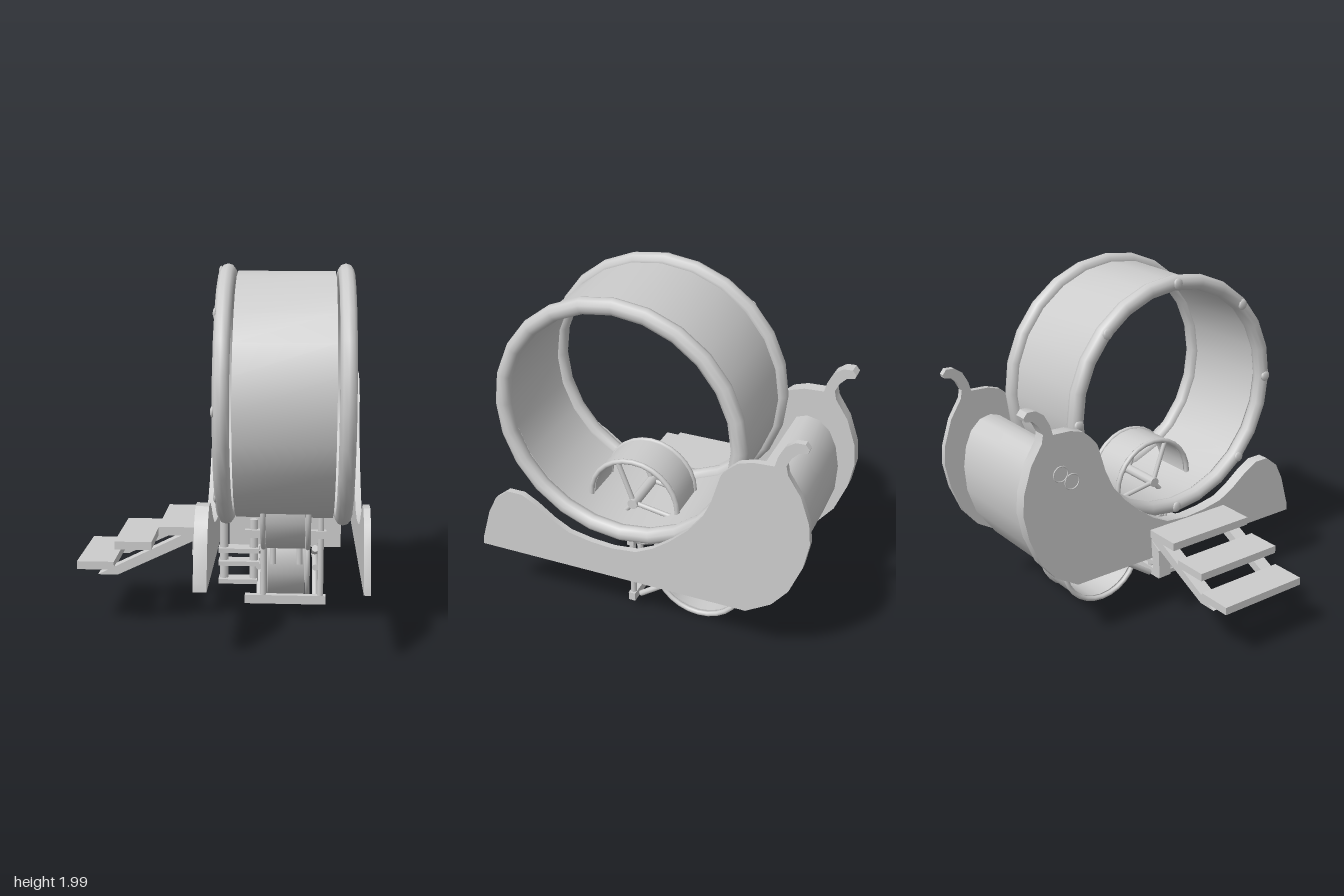
import * as THREE from 'three';
import { toCreasedNormals } from 'three/addons/utils/BufferGeometryUtils.js';

const grey = new THREE.MeshStandardMaterial({ color: 0xcccccc });
grey.name = 'light grey';

export function createModel() {
  const model = new THREE.Group();
  model.name = 'snailWheelRide';

  const add = (name, geometry, x = 0, y = 0, z = 0) => {
    const mesh = new THREE.Mesh(geometry, grey);
    mesh.name = name;
    mesh.position.set(x, y, z);
    model.add(mesh);
    return mesh;
  };
  const box = (name, x0, x1, y0, y1, z0, z1) =>
    add(name, new THREE.BoxGeometry(x1 - x0, y1 - y0, z1 - z0), (x0 + x1) / 2, (y0 + y1) / 2, (z0 + z1) / 2);

  // Round rod between two points
  const rod = (name, a, b, r) => {
    const p = new THREE.Vector3(...a), q = new THREE.Vector3(...b);
    const mesh = add(name, new THREE.CylinderGeometry(r, r, p.distanceTo(q), 10));
    mesh.position.copy(p).add(q).multiplyScalar(0.5);
    mesh.quaternion.setFromUnitVectors(new THREE.Vector3(0, 1, 0), q.sub(p).normalize());
  };

  // Side outline given as [z, y], extruded along x
  const slab = (name, points, x0, x1) => {
    const shape = new THREE.Shape(points.map(([z, y]) => new THREE.Vector2(-z, y)));
    const g = new THREE.ExtrudeGeometry(shape, { depth: x1 - x0, bevelEnabled: false });
    g.rotateY(Math.PI / 2);
    add(name, toCreasedNormals(g, 0.6), x0, 0, 0);
  };

  // Hoop lying in the y-z plane
  const hoop = (name, r, tube, x, y, z, sides = 24) =>
    add(name, new THREE.TorusGeometry(r, tube, 10, sides).rotateY(Math.PI / 2), x, y, z);

  // Thin open drum with its axis along x
  const drum = (name, outer, inner, x0, x1, y, z, sides = 24) => {
    const h = (x1 - x0) / 2;
    const profile = [[inner, -h], [outer, -h], [outer, h], [inner, h], [inner, -h]]
      .map(([r, t]) => new THREE.Vector2(r, t));
    const g = new THREE.LatheGeometry(profile, sides).rotateZ(-Math.PI / 2);
    add(name, toCreasedNormals(g, 0.6), (x0 + x1) / 2, y, z);
  };

  // Big shell wheel with rims and rivets
  const cy = 1.28, cz = 0.14;
  drum('shellDrum', 0.68, 0.662, 0.08, 0.61, cy, cz);
  for (const x of [0.025, 0.665]) hoop('shellRim', 0.675, 0.045, x, cy, cz);
  for (let i = 0; i < 8; i++) {
    const a = i * Math.PI / 4;
    const rivet = add('rimRivet', new THREE.SphereGeometry(0.032, 10, 6),
      -0.014, cy + 0.675 * Math.cos(a), cz + 0.675 * Math.sin(a));
    rivet.scale.x = 0.4;
  }

  // Snail side panels, with the feeler on the head
  const snail = [
    [0.96, 0.385], [0.955, 0.43], [0.9, 0.62], [0.85, 0.72], [0.77, 0.785], [0.68, 0.785],
    [0.6, 0.74], [0.5, 0.665], [0.4, 0.61], [0.27, 0.585], [0.14, 0.575], [0, 0.59],
    [-0.1, 0.64], [-0.2, 0.715], [-0.3, 0.81], [-0.38, 0.91], [-0.43, 1.02], [-0.48, 1.19], [-0.52, 1.24],
    [-0.57, 1.285], [-0.65, 1.31], [-0.76, 1.315], [-0.775, 1.37], [-0.81, 1.435],
    [-0.86, 1.47], [-0.91, 1.472], [-0.932, 1.445], [-0.925, 1.425], [-0.88, 1.415],
    [-0.845, 1.38], [-0.82, 1.33], [-0.83, 1.28], [-0.9, 1.17], [-0.95, 1.02],
    [-0.96, 0.9], [-0.93, 0.75], [-0.86, 0.58], [-0.77, 0.47], [-0.63, 0.385],
  ].reverse();
  slab('snailPanelRight', snail, -0.105, -0.035);
  slab('snailPanelLeft', snail, 0.75, 0.785);

  // Eye outlines on the outer face of the thick panel
  for (const [y, z] of [[1.08, -0.72], [1.02, -0.65]]) hoop('eyeOutline', 0.045, 0.004, -0.105, y, z, 16);

  // Body between the panels, wrapping the back of the wheel
  slab('rearBody', [
    [-0.09, 0.35], [-0.55, 0.35], [-0.7, 0.43], [-0.82, 0.6], [-0.87, 0.75], [-0.88, 0.9],
    [-0.86, 1.02], [-0.82, 1.11], [-0.76, 1.165], [-0.69, 1.18], [-0.63, 1.16], [-0.6, 1.1],
    [-0.56, 1.0], [-0.5, 0.89], [-0.41, 0.78], [-0.3, 0.675], [-0.2, 0.615], [-0.09, 0.57],
  ], 0.02, 0.67);

  // Two small wheels
  for (const [y, z] of [[0.68, 0.15], [0.285, -0.24]]) {
    drum('smallWheelDrum', 0.268, 0.25, 0.245, 0.46, y, z);
    for (const x of [0.228, 0.477]) hoop('smallWheelRim', 0.262, 0.015, x, y, z, 28);
  }
  // Spokes and hub of the upper small wheel
  for (const x of [0.228, 0.477])
    for (let i = 0; i < 3; i++) {
      const a = 0.36 + i * 2 * Math.PI / 3;
      rod('wheelSpoke', [x, 0.68, 0.15], [x, 0.68 + 0.26 * Math.cos(a), 0.15 + 0.26 * Math.sin(a)], 0.014);
    }
  rod('upperAxle', [0.21, 0.68, 0.15], [0.5, 0.68, 0.15], 0.03);

  // Foot bars, hangers and linkages under the body
  box('footBar', 0.12, 0.58, 0.075, 0.125, 0.11, 0.15);
  box('upperBar', 0.12, 0.58, 0.46, 0.505, 0.11, 0.15);
  for (const x of [0.225, 0.55]) rod('hanger', [x, 0.1, 0.13], [x, 0.6, 0.13], 0.018);
  for (const x of [0.2, 0.52]) {
    rod('horizontalLink', [x, 0.29, 0.14], [x, 0.29, -0.24], 0.018);
    rod('lowerLink', [x, 0.09, 0.1], [x, 0.3, -0.2], 0.017);
    rod('rearLink', [x, 0.27, -0.2], [x, 0.36, -0.5], 0.016);
    rod('upperLink', [x, 0.37, 0.02], [x, 0.27, -0.22], 0.02);
  }
  for (const x of [0.28, 0.43]) rod('frontStrut', [x, 0.31, 0.14], [x, 0.48, 0.14], 0.018);

  // Side crank with flat treads
  for (const [y, x1] of [[0.205, 0.19], [0.31, 0.2], [0.385, 0.2]])
    box('crankTread', -0.03, x1, y - 0.013, y + 0.013, 0.06, 0.16);
  for (const x of [0.0, 0.17]) rod('crankPost', [x, 0.2, 0.11], [x, 0.56, 0.11], 0.025);

  // Stair treads
  for (const [x0, x1, y0, y1] of [
    [-0.795, -0.59, 0.335, 0.38], [-0.585, -0.38, 0.45, 0.495], [-0.34, -0.125, 0.535, 0.582],
  ]) box('stairTread', x0, x1, y0, y1, -0.14, 0.41);

  // Stair stringers and bracket, outlined in x-y
  const plank = (name, points, z0, z1) => add(name, new THREE.ExtrudeGeometry(
    new THREE.Shape(points.map(p => new THREE.Vector2(...p))), { depth: z1 - z0, bevelEnabled: false }), 0, 0, z0);
  for (const z of [-0.13, 0.32])
    plank('stairStringer', [[-0.68, 0.305], [-0.57, 0.305], [-0.125, 0.515], [-0.125, 0.575], [-0.16, 0.56]], z, z + 0.08);
  plank('stairBracket', [[-0.2, 0.3], [-0.14, 0.3], [-0.12, 0.515], [-0.19, 0.47]], -0.13, -0.05);

  return model;
}
